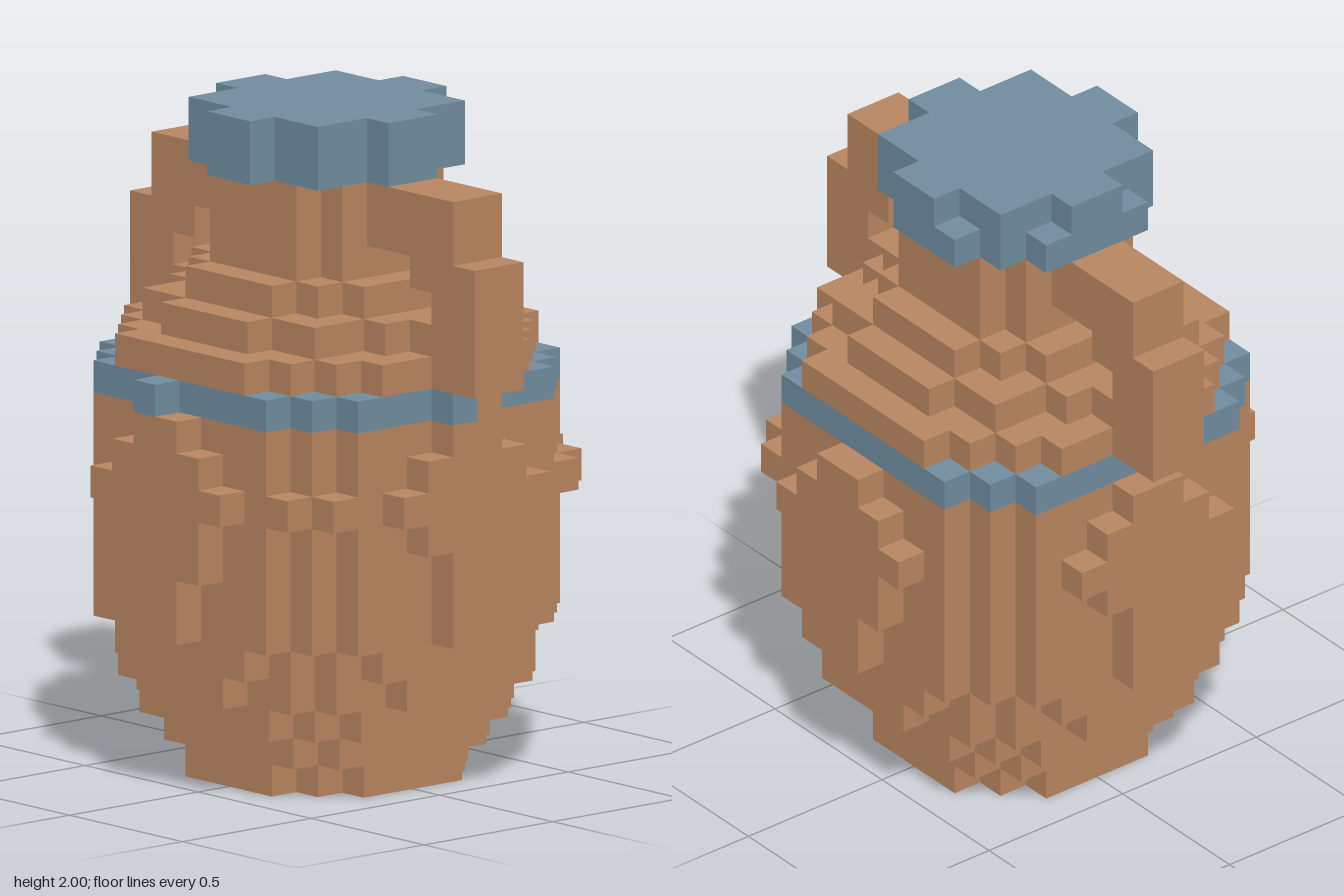
import * as THREE from 'three';

const V = 2 / 21; // edge of one block

// Symmetric stepped outline: half[r] is the half width of row r counted from the centre
function steppedShape(half) {
  const right = [];
  for (let z = -half.length; z < half.length; z++) {
    const w = half[z < 0 ? -z - 1 : z];
    for (const p of [[w, z], [w, z + 1]]) {
      const last = right[right.length - 1];
      if (!last || last[0] !== p[0] || last[1] !== p[1]) right.push(p);
    }
  }
  const left = right.map(([x, z]) => [-x, z]).reverse();
  return polygon([...right, ...left]);
}

function polygon(points) {
  return new THREE.Shape(points.map(([x, y]) => new THREE.Vector2(x, y)));
}

function extrude(shape, depth) {
  return new THREE.ExtrudeGeometry(shape, { depth, bevelEnabled: false });
}

export function createModel() {
  const clay = new THREE.MeshStandardMaterial({ color: 0xb98661 });
  clay.name = 'clay';
  const glaze = new THREE.MeshStandardMaterial({ color: 0x718da0 });
  glaze.name = 'blue glaze';

  const jar = new THREE.Group();
  jar.name = 'jar';
  jar.scale.setScalar(V);

  const add = (name, geometry, material) => {
    const mesh = new THREE.Mesh(geometry, material);
    mesh.name = name;
    jar.add(mesh);
    return mesh;
  };
  const layer = (name, y0, y1, half, material = clay) =>
    add(name, extrude(steppedShape(half), y1 - y0).rotateX(-Math.PI / 2).translate(0, y0, 0), material);
  const block = (name, x, y, z, material = clay) =>
    add(name, new THREE.BoxGeometry(1, 1, 1).translate(x + 0.5, y + 0.5, z + 0.5), material);

  // Foot and lower taper
  layer('foot', 0, 1, [4, 4, 3, 2]);
  layer('foot', 1, 2, [4, 4, 4, 3]);
  layer('lowerBelly', 2, 3, [5, 5, 5, 4, 3]);
  layer('lowerBelly', 3, 4, [6, 6, 5, 5, 4, 2]);
  layer('lowerBelly', 4, 5, [6, 6, 6, 5, 4, 3]);

  // Belly and glazed band
  layer('belly', 5, 12, [6, 6, 6, 6, 5, 4]);
  layer('band', 12, 13, [6, 6, 6, 6, 5, 4], glaze);

  // Shoulder steps and neck
  layer('shoulder', 13, 14, [6, 6, 6, 5, 4, 3]);
  layer('shoulder', 14, 15, [5, 5, 4, 4, 2]);
  layer('shoulder', 15, 16, [4, 4, 3, 2]);
  layer('neck', 16, 19, [3, 3, 2]);

  // Lid with a few lower corner blocks
  layer('lid', 19, 21, [4, 3, 3, 1], glaze);
  block('lidChip', -2, 19, -4, glaze);
  block('lidChip', -4, 19, -2, glaze);
  block('lidChip', -4, 19, 1, glaze);

  // Raised ornament, repeated on the four sides
  const ornament = polygon([
    [-1, 5], [1, 5], [1, 7], [2, 7], [2, 9], [3, 9], [3, 10], [2, 10], [2, 11], [1, 11], [1, 12],
    [-1, 12], [-1, 11], [-2, 11], [-2, 10], [-3, 10], [-3, 9], [-2, 9], [-2, 8], [-1, 8],
  ]);
  for (let i = 0; i < 4; i++) {
    add('ornament', extrude(ornament, 1).translate(0, 0, 6).rotateY(i * Math.PI / 2), clay);
  }

  // Single blocks beside the band and on the belly corners
  block('bandKnob', -1, 12, 6, glaze);
  block('bandKnob', 6, 12, 0, glaze);
  block('handleRoot', 6, 12, -1);
  for (const side of [1, -1]) {
    block('cornerChip', 4, 9, side > 0 ? 5 : -6);
    block('cornerChip', 5, 9, side > 0 ? 4 : -5);
  }

  // Pair of handles
  const handle = polygon([
    [3, 17], [5, 17], [5, 16], [6, 16], [6, 15], [5, 15], [5, 14], [6, 14], [6, 13],
    [8, 13], [8, 17], [7, 17], [7, 19], [3, 19],
  ]);
  for (const [name, turn] of [['leftHandle', 0], ['rightHandle', Math.PI]]) {
    add(name, extrude(handle, 2).translate(0, 0, -1).rotateY(turn), clay);
  }

  const model = new THREE.Group();
  model.name = 'blockJar';
  model.add(jar);
  return model;
}
